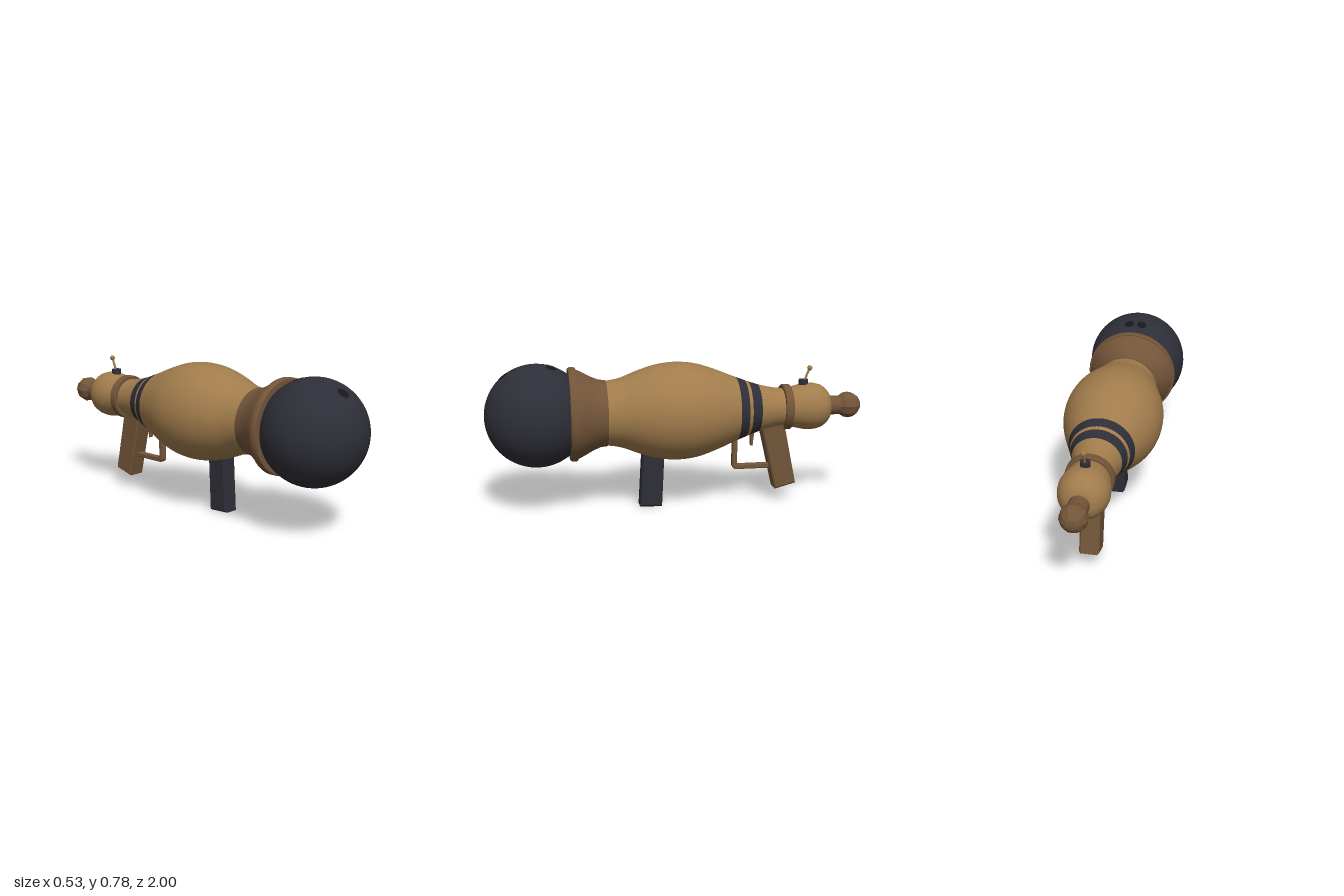
import * as THREE from 'three';
import { toCreasedNormals } from 'three/addons/utils/BufferGeometryUtils.js';

const AXIS = 0.513; // height of the barrel axis

const paint = (name, color) => {
  const m = new THREE.MeshStandardMaterial({ color });
  m.name = name;
  return m;
};

export function createModel() {
  const model = new THREE.Group();
  model.name = 'bowlingLauncher';
  const tan = paint('tanWood', 0xa17c4c);
  const brown = paint('brownWood', 0x735539);
  const dark = paint('darkMetal', 0x2e2e38);
  const black = paint('holeBlack', 0x17171c);

  const add = (name, geometry, material, x = 0, y = 0, z = 0) => {
    const mesh = new THREE.Mesh(geometry, material);
    mesh.name = name;
    mesh.position.set(x, y, z);
    model.add(mesh);
    return mesh;
  };

  // Turned part along z from [z, radius] pairs, listed back to front
  const turned = (name, pairs, material, sides = 64) => {
    const g = new THREE.LatheGeometry(pairs.map(([z, r]) => new THREE.Vector2(r, z)), sides);
    g.rotateX(Math.PI / 2);
    return add(name, toCreasedNormals(g, 0.6), material, 0, AXIS, 0);
  };

  // Side outline in [z, y], extruded across x with small bevels
  const slab = (name, outline, hole, width, bevel, material) => {
    const pts = (list) => list.map(([z, y]) => new THREE.Vector2(z, y));
    const shape = new THREE.Shape(pts(outline));
    if (hole) shape.holes.push(new THREE.Path(pts(hole)));
    const depth = width - 2 * bevel;
    const g = new THREE.ExtrudeGeometry(shape, {
      depth, bevelEnabled: true, bevelSize: bevel, bevelThickness: bevel,
      bevelOffset: -bevel, bevelSegments: 1,
    });
    g.translate(0, 0, -depth / 2);
    g.rotateY(-Math.PI / 2);
    return add(name, g, material);
  };

  // Pin body: one smooth profile cut into bands for the painted stripes
  const profile = new THREE.SplineCurve([
    [-0.58, 0.1], [-0.52, 0.106], [-0.43, 0.127], [-0.31, 0.17], [-0.2, 0.214], [-0.1, 0.246],
    [0, 0.257], [0.1, 0.248], [0.2, 0.22], [0.3, 0.182], [0.38, 0.168],
  ].map(([z, r]) => new THREE.Vector2(z, r))).getPoints(160);
  const radiusAt = (z) => {
    const i = Math.max(1, profile.findIndex((p) => p.x >= z));
    const a = profile[i - 1], b = profile[i];
    return a.y + (b.y - a.y) * (z - a.x) / (b.x - a.x);
  };
  const band = (name, z0, z1, material) => {
    const n = Math.max(4, Math.ceil((z1 - z0) / 0.02));
    const pairs = [];
    for (let i = 0; i <= n; i++) {
      const z = z0 + (z1 - z0) * i / n;
      pairs.push([z, radiusAt(z)]);
    }
    turned(name, pairs, material);
  };
  band('bodyNeck', -0.58, -0.432, tan);
  band('rearStripe', -0.432, -0.379, dark);
  band('stripeGap', -0.379, -0.36, tan);
  band('frontStripe', -0.36, -0.312, dark);
  band('bodyBelly', -0.312, 0.379, tan);

  // Flared muzzle with a rim
  turned('muzzle', [
    [0.375, 0.16], [0.375, 0.172], [0.41, 0.176], [0.45, 0.192], [0.49, 0.214], [0.53, 0.234],
    [0.53, 0.241], [0.537, 0.244], [0.56, 0.244], [0.568, 0.239], [0.568, 0.2],
  ], brown);

  // Ball in the muzzle, with three finger holes as thin curved plates
  const R = 0.267;
  const ballCentre = new THREE.Vector3(0, AXIS, 1 - R);
  add('ball', new THREE.SphereGeometry(R, 64, 40), dark, ...ballCentre.toArray());
  for (const [x, y, z, r] of [[0, 0.212, 0.162, 0.031], [0.035, 0.252, -0.08, 0.027], [-0.035, 0.252, -0.08, 0.027]]) {
    const cap = add('fingerHole', new THREE.SphereGeometry(R + 0.001, 24, 3, 0, Math.PI * 2, 0, r / R), black);
    cap.position.copy(ballCentre);
    cap.quaternion.setFromUnitVectors(new THREE.Vector3(0, 1, 0), new THREE.Vector3(x, y, z).normalize());
  }

  // Neck ring, pin head, tail stem and faceted knob
  turned('neckRing', [
    [-0.607, 0.09], [-0.607, 0.117], [-0.602, 0.121], [-0.57, 0.121], [-0.565, 0.117], [-0.565, 0.09],
  ], brown);
  turned('head', [
    [-0.826, 0], [-0.826, 0.055], [-0.817, 0.077], [-0.8, 0.097], [-0.775, 0.114], [-0.745, 0.123],
    [-0.71, 0.126], [-0.67, 0.121], [-0.63, 0.111], [-0.59, 0.103],
  ], tan);
  turned('tailStem', [[-0.9, 0.05], [-0.82, 0.051]], brown, 24);
  const knob = new THREE.SphereGeometry(0.07, 10, 8);
  knob.rotateX(Math.PI / 2);
  add('tailKnob', toCreasedNormals(knob, 0.3), brown, 0, AXIS, -0.93);

  // Grips
  slab('frontGrip', [[0.205, 0.005], [0.087, 0], [0.072, 0.32], [0.187, 0.32]], null, 0.087, 0.01, dark);
  slab('rearGrip',
    [[-0.527, 0.07], [-0.64, 0.1], [-0.572, 0.43], [-0.45, 0.43], [-0.452, 0.395]],
    [[-0.505, 0.28], [-0.578, 0.302], [-0.618, 0.135], [-0.538, 0.11]], 0.1, 0.008, brown);

  // Trigger guard strap and trigger
  slab('triggerGuard', [
    [-0.297, 0.4], [-0.297, 0.2], [-0.303, 0.188], [-0.315, 0.181], [-0.51, 0.181],
    [-0.51, 0.207], [-0.334, 0.207], [-0.324, 0.217], [-0.324, 0.4],
  ], null, 0.034, 0.004, brown);
  slab('trigger', [[-0.392, 0.42], [-0.397, 0.31], [-0.408, 0.305], [-0.416, 0.38], [-0.416, 0.42]], null, 0.026, 0.003, brown);

  // Sight: dark base, thin leaning post and bead
  add('sightBase', new THREE.CylinderGeometry(0.025, 0.025, 0.035, 16), dark, 0, 0.642, -0.682);
  const foot = new THREE.Vector3(0, 0.645, -0.684), tip = new THREE.Vector3(0, 0.72, -0.715);
  add('sightPost', new THREE.TubeGeometry(new THREE.LineCurve3(foot, tip), 1, 0.006, 8), tan);
  add('sightBead', new THREE.SphereGeometry(0.014, 12, 8), tan, ...tip.toArray());

  return model;
}
